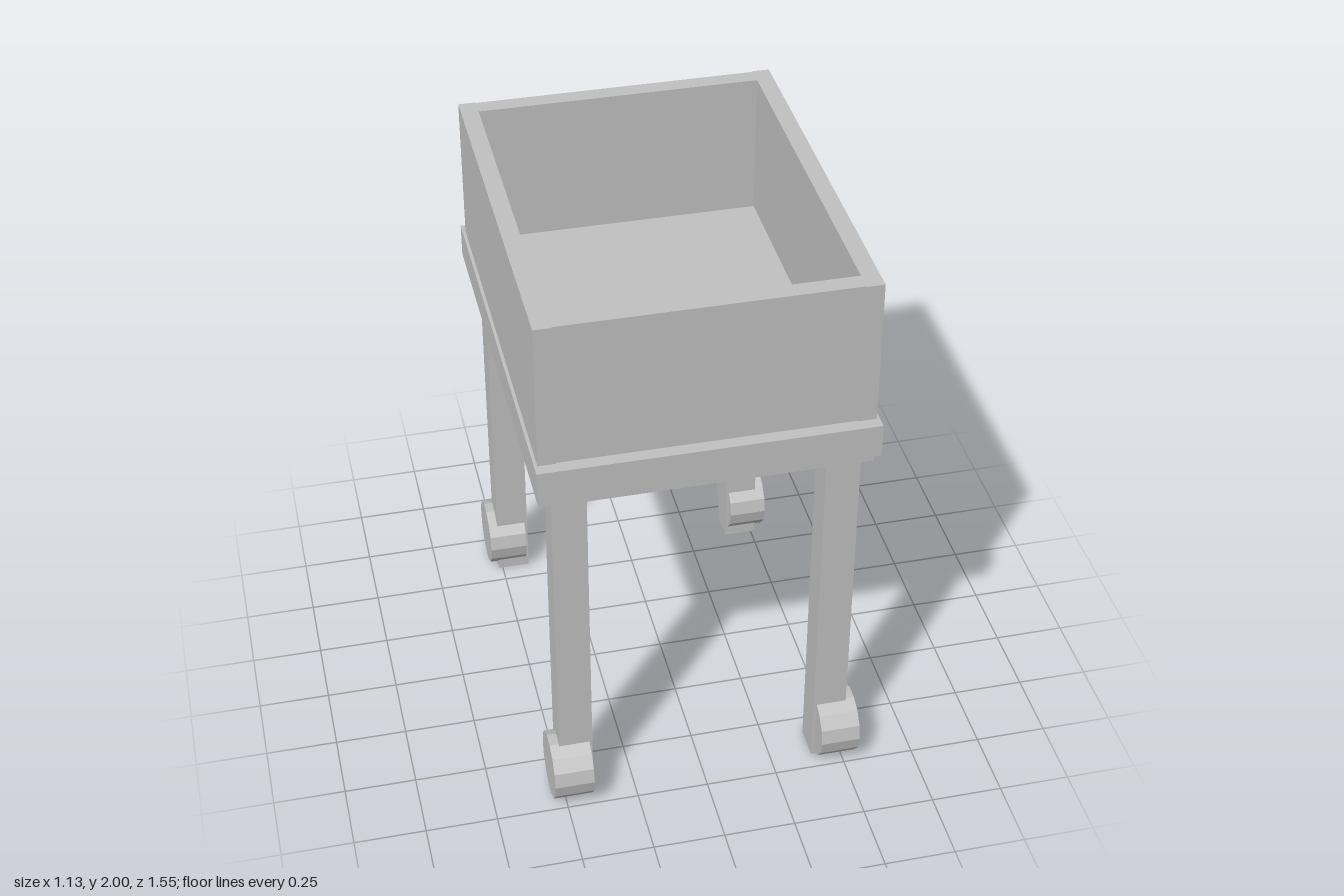
import * as THREE from 'three';

export function createModel() {
  const group = new THREE.Group();
  const grey = new THREE.MeshStandardMaterial({ color: 0xc0c0c0, flatShading: true });
  grey.name = 'plain grey';

  const add = (name, geometry, x, y, z) => {
    const mesh = new THREE.Mesh(geometry, grey);
    mesh.name = name;
    mesh.position.set(x, y, z);
    group.add(mesh);
  };
  // Box given by its lower and upper corners
  const addBox = (name, [x0, y0, z0], [x1, y1, z1]) =>
    add(name, new THREE.BoxGeometry(x1 - x0, y1 - y0, z1 - z0),
      (x0 + x1) / 2, (y0 + y1) / 2, (z0 + z1) / 2);
  // Same box on either side of zero, from inner to outer distance
  const span = (sign, inner, outer) => sign > 0 ? [inner, outer] : [-outer, -inner];

  // Slab that forms the tray floor and the projecting band
  addBox('floorBand', [-0.565, 1.362, -0.74], [0.565, 1.482, 0.74]);

  for (const s of [-1, 1]) {
    // Side panels run past the end panels by a hair and continue below the slab
    const [x0, x1] = span(s, 0.494, 0.554);
    addBox('sidePanel', [x0, 1.312, -0.699], [x1, 2, 0.699]);

    const [z0, z1] = span(s, 0.634, 0.695);
    addBox('endPanel', [-0.494, 1.309, z0], [0.494, 2, z1]);
  }

  // Legs with a wheel on the outer face of each
  for (const sx of [-1, 1]) for (const sz of [-1, 1]) {
    const [x0, x1] = span(sx, 0.397, 0.514);
    const [z0, z1] = span(sz, 0.571, 0.687);
    addBox('leg', [x0, 0, z0], [x1, 1.37, z1]);

    const wheel = new THREE.CylinderGeometry(0.12, 0.12, 0.138, 14).rotateZ(Math.PI / 2);
    add('wheel', wheel, sx * 0.477, 0.125, sz * 0.653);
  }
  return group;
}
